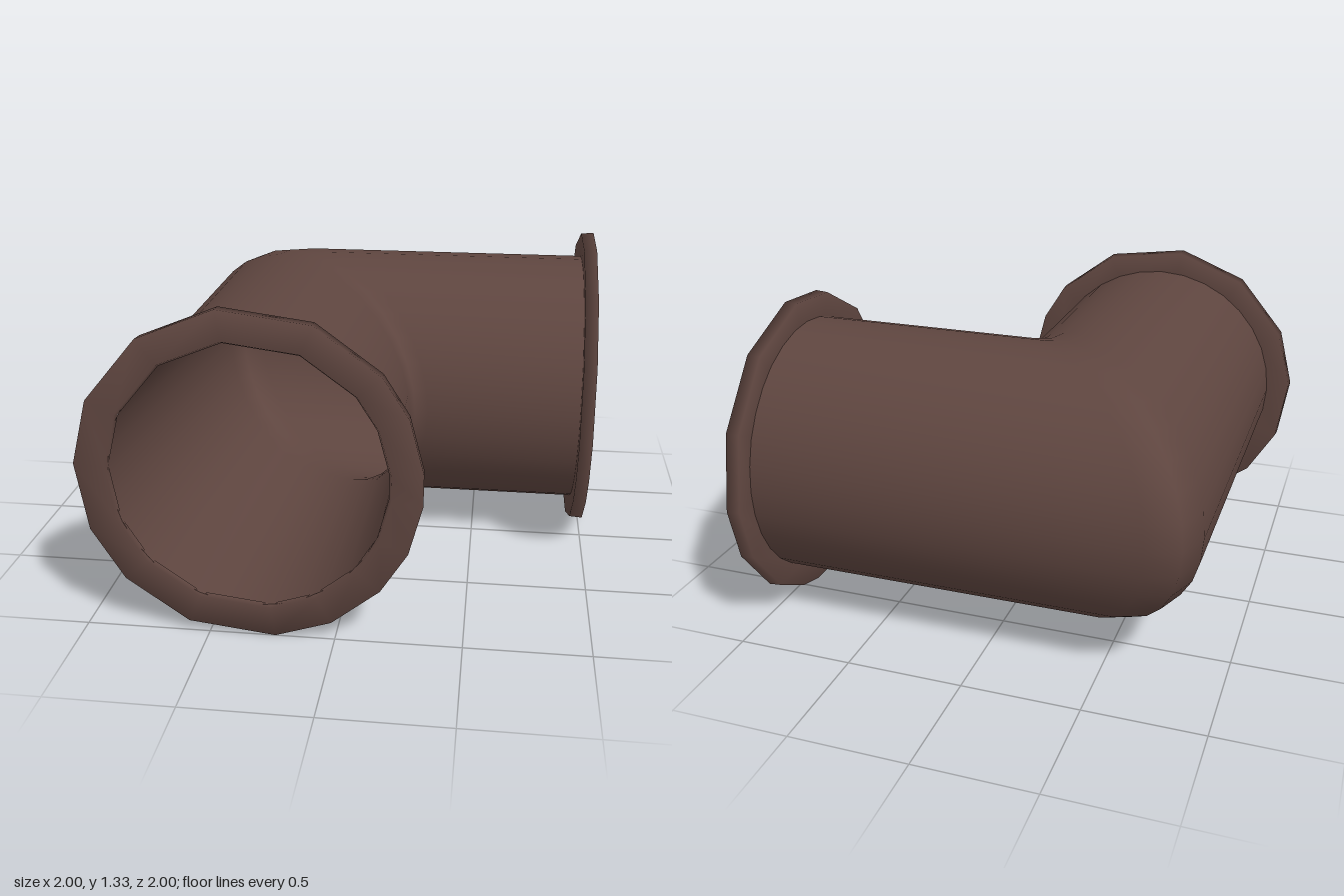
import * as THREE from 'three';

const CY = 0.672; // height of the pipe axis
const C = -0.33;  // sideways position of both pipe axes
const EVEN = Array.from({ length: 32 }, (_, i) => i * 360 / 32);

// A ring is a tilted ellipse: centre (x, z), sideways half-axis (dx, dz), half-height ry.
const ring = (x, z, dx, dz, ry) => ({ x, z, dx, dz, ry });
const mouthRing = (z, r) => ring(C, z, r, 0, r);
// The same ring on the other arm, mirrored across the diagonal.
const swap = (r) => ring(r.z, r.x, r.dz, r.dx, r.ry);

// Skins a list of rings with smooth quads.
function loft(rings, angles) {
  const pos = [], index = [], n = angles.length;
  for (const r of rings) {
    for (const deg of angles) {
      const a = THREE.MathUtils.degToRad(deg), u = Math.cos(a);
      pos.push(r.x + r.dx * u, CY + r.ry * Math.sin(a), r.z + r.dz * u);
    }
  }
  for (let j = 0; j < rings.length - 1; j++) {
    for (let i = 0; i < n; i++) {
      const k = (i + 1) % n;
      const a = j * n + i, b = a + n, c = j * n + k, d = c + n;
      index.push(a, b, c, b, d, c);
    }
  }
  const g = new THREE.BufferGeometry();
  g.setAttribute('position', new THREE.Float32BufferAttribute(pos, 3));
  g.setIndex(index);
  g.computeVertexNormals();
  return g;
}

// Front arm, mitre ring, then the mirrored side arm.
const elbow = (arm, mitre) => [...arm, mitre, ...arm.map(swap).reverse()];

export function createModel() {
  const model = new THREE.Group();
  model.name = 'pipeElbow';
  const brown = new THREE.MeshStandardMaterial({ color: 0x5e453f });
  brown.name = 'brown';

  const add = (name, geometry) => {
    const mesh = new THREE.Mesh(geometry, brown);
    mesh.name = name;
    model.add(mesh);
  };

  // Outer wall, with a clipped outside corner and a tight inside corner
  add('outerWall', loft(elbow(
    [mouthRing(0.96, 0.562), ring(C, -0.2, 0.56, 0.5, 0.562)],
    ring(-0.295, -0.295, 0.54, 0.54, 0.562)), EVEN));

  // Inner wall, facing the bore
  add('innerWall', loft(elbow(
    [mouthRing(0.99, 0.54), ring(-0.28, -0.17, 0.49, 0.47, 0.515)],
    ring(-0.25, -0.25, 0.475, 0.475, 0.515)).reverse(), EVEN));

  // Uneven hand-cut flanges: bore edge, front rim, back rim, pipe joint
  const flange = [
    mouthRing(0.98, 0.54), mouthRing(1, 0.55), mouthRing(1, 0.672),
    mouthRing(0.945, 0.668), mouthRing(0.95, 0.555),
  ];
  const frontAngles = [5, 24, 40, 67, 98, 126, 154, 177, 201, 222, 248, 278, 298, 319, 336, 354];
  const sideAngles = [22, 47, 74, 97, 127, 156, 184, 205, 231, 249, 261, 279, 306, 324, 337, 354];
  add('frontFlange', loft(flange, frontAngles));
  add('leftFlange', loft(flange.map(swap).reverse(), sideAngles));

  return model;
}
